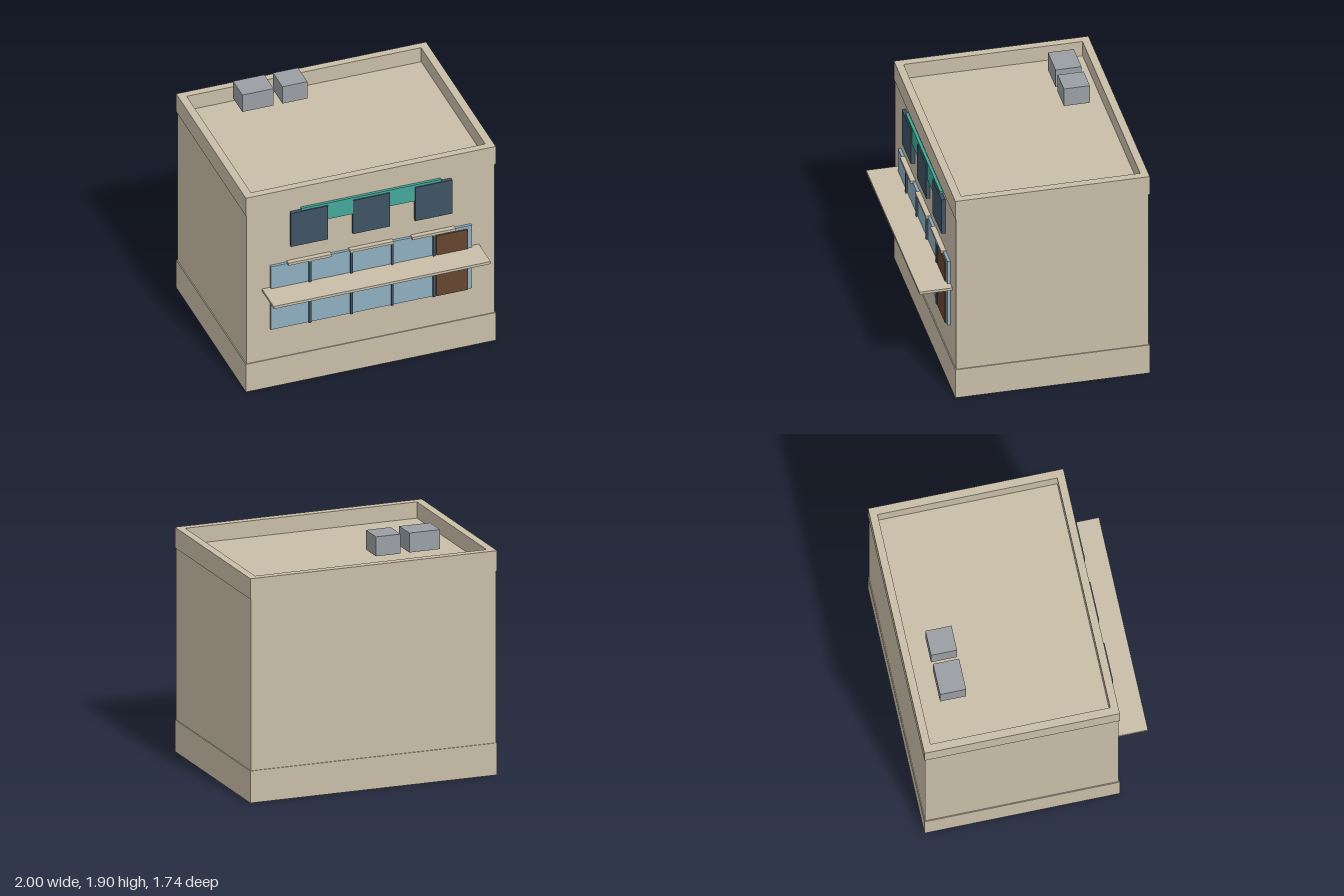
import * as THREE from 'three';

const material = (name, color) => {
  const m = new THREE.MeshStandardMaterial({ color });
  m.name = name;
  return m;
};

export function createModel() {
  const stone = material('stone', 0xc8bda8);
  const glass = material('glass', 0x8eaebf);
  const navy = material('navy', 0x3e5364);
  const teal = material('teal', 0x43a89b);
  const wood = material('wood', 0x65462f);
  const metal = material('metal', 0x9a9fa4);

  const model = new THREE.Group();
  model.name = 'storefront';

  // Box given by its lower and upper limits on each axis
  const box = (name, mat, [x0, x1], [y0, y1], [z0, z1]) => {
    const mesh = new THREE.Mesh(new THREE.BoxGeometry(x1 - x0, y1 - y0, z1 - z0), mat);
    mesh.position.set((x0 + x1) / 2, (y0 + y1) / 2, (z0 + z1) / 2);
    mesh.name = name;
    model.add(mesh);
  };

  const back = -0.872, front = 0.627, inset = 0.0075;
  const wall = front - inset;

  // Plinth, walls and flat roof
  box('plinth', stone, [-1, 1], [0, 0.25], [back, front]);
  box('walls', stone, [-1 + inset, 1 - inset], [0.25, 1.625], [back + inset, wall]);

  // Parapet: a rectangular ring around the roof
  const rectangle = (target, w, d) => {
    target.moveTo(-w, -d);
    target.lineTo(w, -d);
    target.lineTo(w, d);
    target.lineTo(-w, d);
    target.closePath();
    return target;
  };
  const halfDepth = (front - back) / 2;
  const ring = rectangle(new THREE.Shape(), 1, halfDepth);
  ring.holes.push(rectangle(new THREE.Path(), 0.9375, halfDepth - 0.06));
  const parapetGeometry = new THREE.ExtrudeGeometry(ring, { depth: 0.16, bevelEnabled: false });
  parapetGeometry.rotateX(-Math.PI / 2);
  const parapet = new THREE.Mesh(parapetGeometry, stone);
  parapet.position.set(0, 1.592, (front + back) / 2);
  parapet.name = 'parapet';
  model.add(parapet);

  // Rooftop units
  box('largeRoofUnit', metal, [-0.62, -0.37], [1.752, 1.904], [-0.67, -0.47]);
  box('smallRoofUnit', metal, [-0.3, -0.1], [1.752, 1.904], [-0.67, -0.47]);

  // Shop window with its mullions and door
  box('shopWindow', glass, [-0.805, 0.805], [0.527, 1.096], [wall, 0.642]);
  for (const x of [-0.497, -0.163, 0.163, 0.497]) {
    box('mullion', navy, [x - 0.009, x + 0.009], [0.527, 1.086], [wall, 0.657]);
  }
  box('door', wood, [0.517, 0.767], [0.527, 1.071], [wall, 0.652]);

  // Canopy and sign band
  box('canopy', stone, [-0.868, 0.868], [0.875, 0.897], [wall, 0.872]);
  box('signBand', teal, [-0.56, 0.56], [1.42, 1.566], [wall, 0.641]);

  // Upper windows with the sills below them
  for (const x of [-0.498, -0.002, 0.495]) {
    box('upperWindow', navy, [x - 0.148, x + 0.148], [1.244, 1.546], [wall, 0.65]);
    box('sill', stone, [x - 0.174, x + 0.174], [1.085, 1.107], [wall, 0.659]);
  }

  return model;
}
